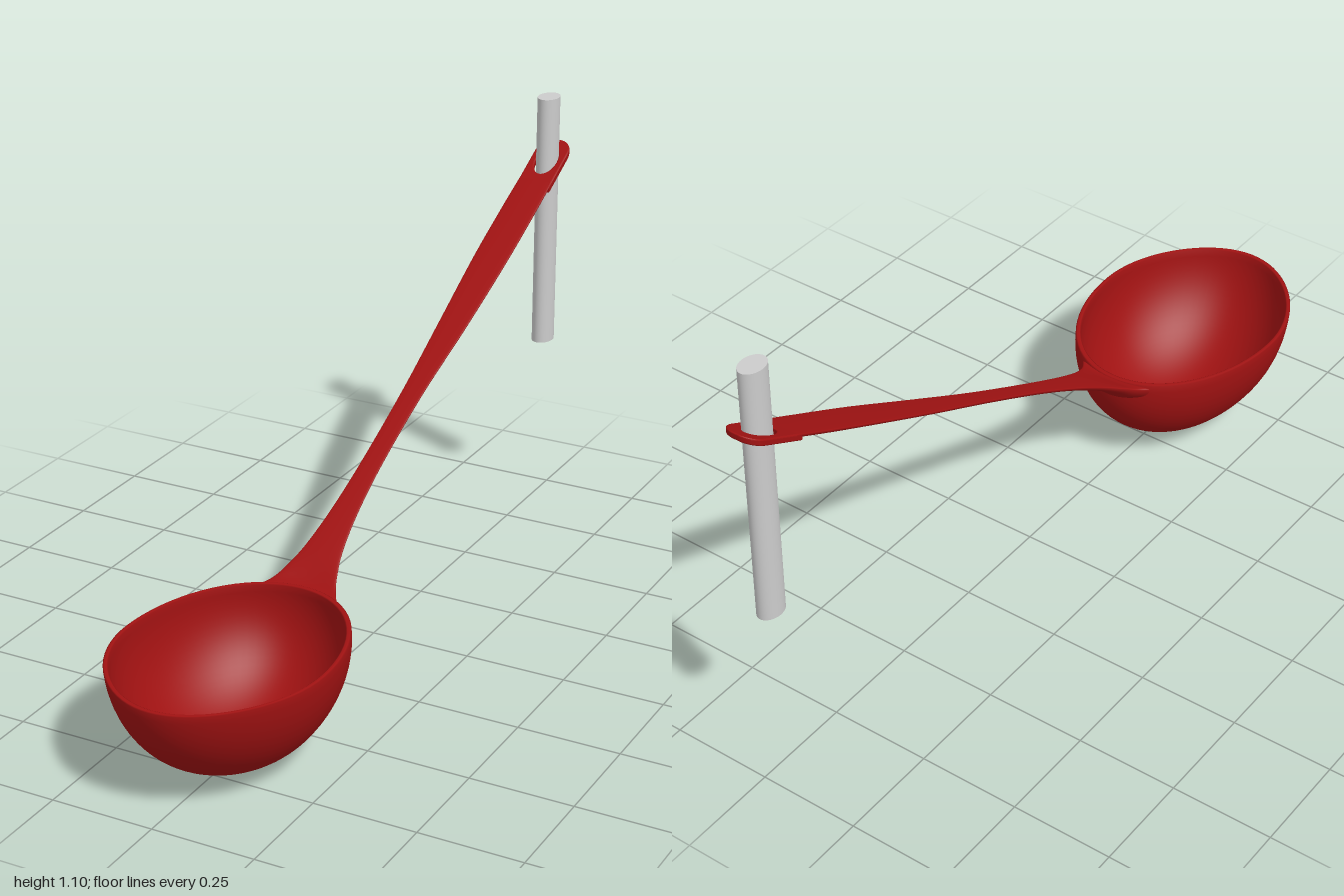
import * as THREE from 'three';
import { mergeVertices } from 'three/addons/utils/BufferGeometryUtils.js';

const red = new THREE.MeshStandardMaterial({ color: 0xa01212, side: THREE.DoubleSide });
const grey = new THREE.MeshStandardMaterial({ color: 0xcccccc });

function part(name, geometry, material) {
  const mesh = new THREE.Mesh(geometry, material);
  mesh.name = name;
  return mesh;
}

// Egg-shaped bowl: a unit hemisphere shell, stretched more to the back than to the front
function bowlGeometry() {
  const H = 0.278, wall = 0.045, steps = 24, profile = [];
  for (let i = 0; i <= steps; i++) {
    const a = (i / steps) * Math.PI / 2;
    profile.push(new THREE.Vector2(Math.sin(a), H * (1 - Math.cos(a))));
  }
  profile[0].x = 0;
  profile.push(new THREE.Vector2(1 - wall * 0.25, H + 0.002), new THREE.Vector2(1 - wall * 0.75, H + 0.002));
  for (let i = steps; i >= 0; i--) {
    const a = (i / steps) * Math.PI / 2;
    profile.push(new THREE.Vector2((1 - wall) * Math.sin(a), H - (H - 0.012) * Math.cos(a)));
  }
  let g = new THREE.LatheGeometry(profile, 72);
  const p = g.attributes.position;
  for (let i = 0; i < p.count; i++) {
    const x = p.getX(i), y = p.getY(i), z = p.getZ(i);
    const narrow = z > 0 ? 1 - 0.12 * z * z : 1; // slightly pointed lip
    p.setXYZ(i, x * 0.25 * narrow, y, 0.69 + z * (z > 0 ? 0.308 : 0.35) - 0.04 * (1 - y / H));
  }
  g.deleteAttribute('normal');
  g.deleteAttribute('uv');
  g = mergeVertices(g, 1e-5);
  g.computeVertexNormals();
  return g;
}

// Handle: flat-topped, round-bottomed sections swept from the bowl up to the tip
function handleGeometry() {
  // z, top y, centre x, half width, thickness
  const stations = [
    [0.345, 0.277, 0, 0.100, 0.050],
    [0.325, 0.285, 0, 0.082, 0.045],
    [0.295, 0.303, 0, 0.065, 0.034],
    [0.24, 0.335, 0, 0.047, 0.025],
    [0.14, 0.388, 0, 0.033, 0.018],
    [0, 0.460, 0, 0.026, 0.016],
    [-0.2, 0.560, 0.001, 0.027, 0.016],
    [-0.4, 0.660, 0.004, 0.037, 0.017],
    [-0.6, 0.763, 0.006, 0.045, 0.019],
    [-0.76, 0.844, 0.007, 0.046, 0.020],
    [-0.86, 0.895, 0.008, 0.045, 0.020],
  ];
  const spline = (f) => new THREE.CatmullRomCurve3(stations.map(f), false, 'catmullrom');
  const path = spline((s) => new THREE.Vector3(s[2], s[1], s[0]));
  const size = spline((s) => new THREE.Vector3(s[3], s[4], 0));
  const rows = 60, sides = 32, pos = [], index = [];
  for (let i = 0; i <= rows; i++) {
    const c = path.getPoint(i / rows), s = size.getPoint(i / rows);
    const wrap = 2 * THREE.MathUtils.smoothstep(c.z, 0.24, 0.345); // follows the curved rim
    for (let j = 0; j < sides; j++) {
      const a = (j / sides) * Math.PI * 2, sn = Math.sin(a);
      const dx = s.x * Math.cos(a);
      const dy = sn > 0 ? 0.15 * s.y * (Math.sqrt(sn) - 1) : s.y * (0.85 * sn - 0.15);
      pos.push(c.x + dx, c.y + dy, c.z + wrap * dx * dx);
      if (i < rows) {
        const k = (j + 1) % sides, A = i * sides, B = A + sides;
        index.push(A + j, B + j, A + k, A + k, B + j, B + k);
      }
    }
  }
  const g = new THREE.BufferGeometry();
  g.setAttribute('position', new THREE.Float32BufferAttribute(pos, 3));
  g.setIndex(index);
  g.computeVertexNormals();
  return g;
}

// Rounded tip with the hanging hole, sheared along the slope of the handle
function tipGeometry() {
  const w = 0.041, r = 0.034, v0 = 0.85, v1 = 0.992, bevel = 0.004;
  const shape = new THREE.Shape();
  shape.moveTo(-w, v0);
  shape.lineTo(w, v0);
  shape.lineTo(w, v1 - r);
  shape.absarc(w - r, v1 - r, r, 0, Math.PI / 2, false);
  shape.absarc(r - w, v1 - r, r, Math.PI / 2, Math.PI, false);
  shape.closePath();
  const hole = new THREE.Path();
  hole.absellipse(0, 0.925, 0.032, 0.046, 0, Math.PI * 2, true);
  shape.holes.push(hole);
  const g = new THREE.ExtrudeGeometry(shape, {
    depth: 0.01, bevelThickness: bevel, bevelSize: bevel, bevelSegments: 3, curveSegments: 24,
  });
  g.rotateX(-Math.PI / 2);
  const p = g.attributes.position;
  for (let i = 0; i < p.count; i++) {
    p.setX(i, p.getX(i) + 0.008);
    p.setY(i, p.getY(i) + 0.875 + (-0.85 - p.getZ(i)) * 0.52);
  }
  g.computeVertexNormals();
  return g;
}

export function createModel() {
  const group = new THREE.Group();
  group.name = 'ladle';
  group.add(part('bowl', bowlGeometry(), red));
  group.add(part('handle', handleGeometry(), red));
  group.add(part('handleTip', tipGeometry(), red));

  // Oval rod passing through the hanging hole
  const rod = part('hangingRod', new THREE.CylinderGeometry(1, 1, 0.655, 40), grey);
  rod.scale.set(0.027, 1, 0.037);
  rod.position.set(0.009, 0.768, -0.929);
  group.add(rod);
  return group;
}
